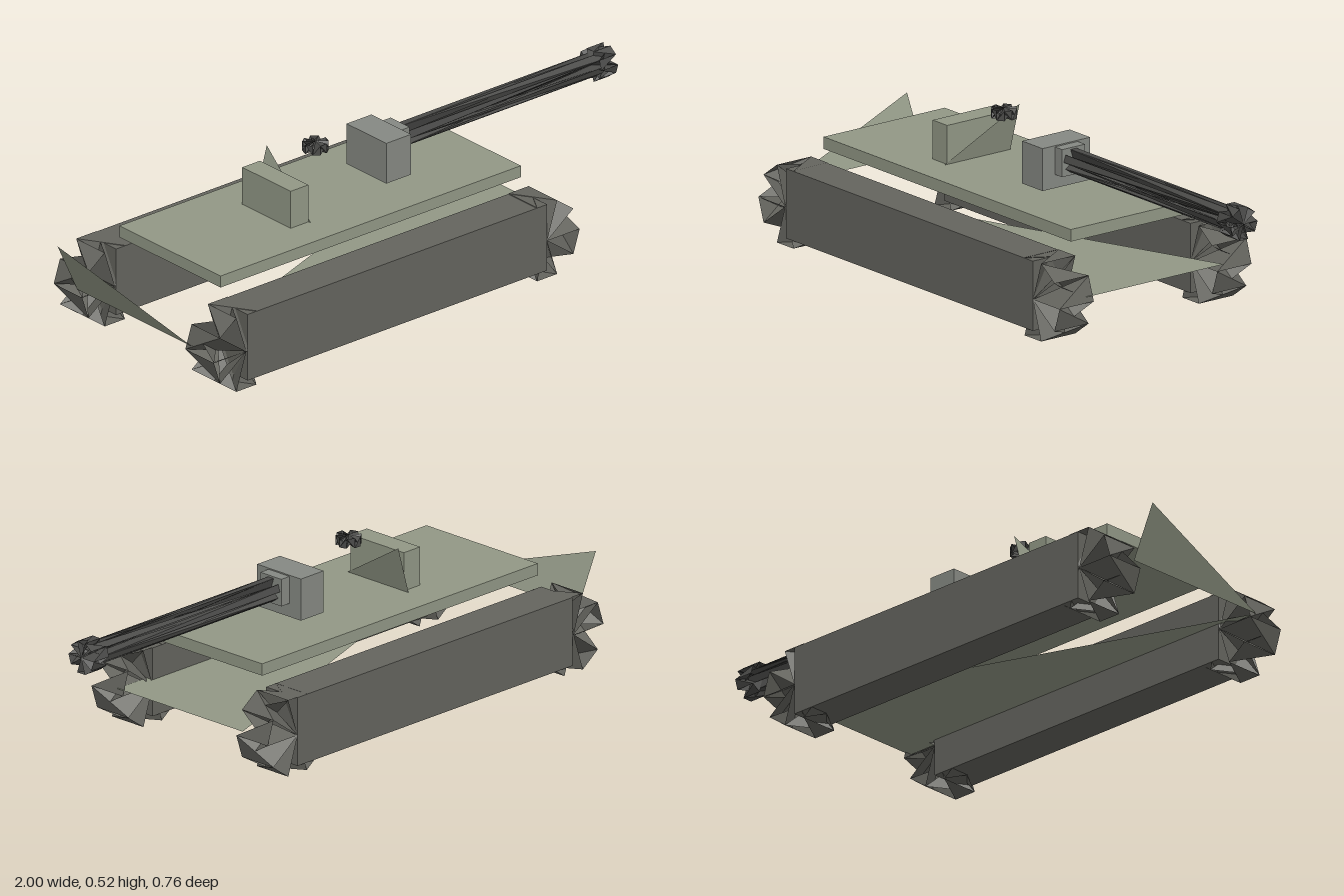
import * as THREE from 'three';

const material = (color) =>
  new THREE.MeshStandardMaterial({ color, flatShading: true, side: THREE.DoubleSide });
const green = material(0x929886);
const trackGrey = material(0x64645e);
const steel = material(0x868983);
const dark = material(0x4b4b49);

function add(group, name, geometry, mat) {
  const mesh = new THREE.Mesh(geometry, mat);
  mesh.name = name;
  group.add(mesh);
  return mesh;
}

// Box given by its two opposite corners
function box(group, name, mat, [x0, y0, z0], [x1, y1, z1]) {
  const mesh = add(group, name, new THREE.BoxGeometry(x1 - x0, y1 - y0, z1 - z0), mat);
  mesh.position.set((x0 + x1) / 2, (y0 + y1) / 2, (z0 + z1) / 2);
}

function surface(points) {
  const geometry = new THREE.BufferGeometry();
  geometry.setAttribute('position', new THREE.Float32BufferAttribute(points.flat(), 3));
  geometry.computeVertexNormals();
  return geometry;
}

// Ten-sided drum along z, made of slanted blades that leave jagged ends
function jaggedDrum(radius, length) {
  const sides = 10, h = length / 2, points = [];
  const rim = (i, z) => {
    const a = (i / sides) * Math.PI * 2;
    return [radius * Math.cos(a), radius * Math.sin(a), z];
  };
  for (let i = 0; i < sides; i++) {
    // half of each side panel, pointing to alternate ends
    points.push(rim(i, h), rim(i, -h), rim(i + 1, i % 2 ? h : -h));
    // slanted blades from the hub at each end
    points.push([0, 0, h], rim(i, h), rim(i + 1, -h));
    points.push([0, 0, -h], rim(i + 1, h), rim(i, -h));
  }
  return surface(points);
}

export function createModel() {
  const model = new THREE.Group();
  model.name = 'trackedVehicle';

  // Tracks with a jagged wheel at each end
  for (const side of [1, -1]) {
    const track = new THREE.Group();
    track.name = side > 0 ? 'frontTrack' : 'backTrack';
    box(track, 'trackBody', trackGrey, [-0.785, 0.027, -0.0675], [0.432, 0.252, 0.0675]);
    for (const x of [-0.79, 0.432]) {
      const wheel = add(track, 'trackWheel', jaggedDrum(0.132, 0.135), trackGrey);
      wheel.position.set(x, 0.128, 0);
    }
    track.position.z = side * 0.311;
    model.add(track);
  }

  // Hull: deck, diagonal belly plate and upright end plate
  box(model, 'deck', green, [-0.775, 0.291, -0.239], [0.445, 0.33, 0.239]);
  add(model, 'bellyPlate', surface([
    [-0.92, 0.147, 0.27], [0.563, 0.147, 0.27], [0.563, 0.147, -0.27],
  ]), green);
  add(model, 'hullEndPlate', surface([
    [-0.92, 0.147, 0.27], [-0.92, 0.147, -0.27], [-1.0, 0.318, -0.27],
  ]), green);

  // Stowage box and the slanted plate against it
  box(model, 'stowageBox', green, [-0.387, 0.33, -0.11], [-0.315, 0.456, 0.119]);
  add(model, 'turretPlate', surface([
    [-0.315, 0.33, 0.13], [-0.315, 0.33, -0.13], [-0.27, 0.488, -0.13],
  ]), green);

  // Hatch above the deck
  const hatch = add(model, 'hatch', jaggedDrum(0.041, 0.032), dark);
  hatch.rotation.x = Math.PI / 2;
  hatch.position.set(-0.184, 0.507, 0);

  // Gun: mount, collar, barrel and muzzle
  box(model, 'gunMount', steel, [0.023, 0.347, -0.094], [0.124, 0.484, 0.094]);
  box(model, 'gunCollar', steel, [0.1, 0.391, -0.045], [0.16, 0.48, 0.045]);
  for (const [name, radius, x0, x1] of [
    ['barrel', 0.039, 0.155, 0.96], ['muzzle', 0.054, 0.932, 1.0],
  ]) {
    const part = add(model, name, jaggedDrum(radius, x1 - x0), dark);
    part.rotation.y = Math.PI / 2;
    part.position.set((x0 + x1) / 2, 0.437, 0);
  }
  return model;
}
